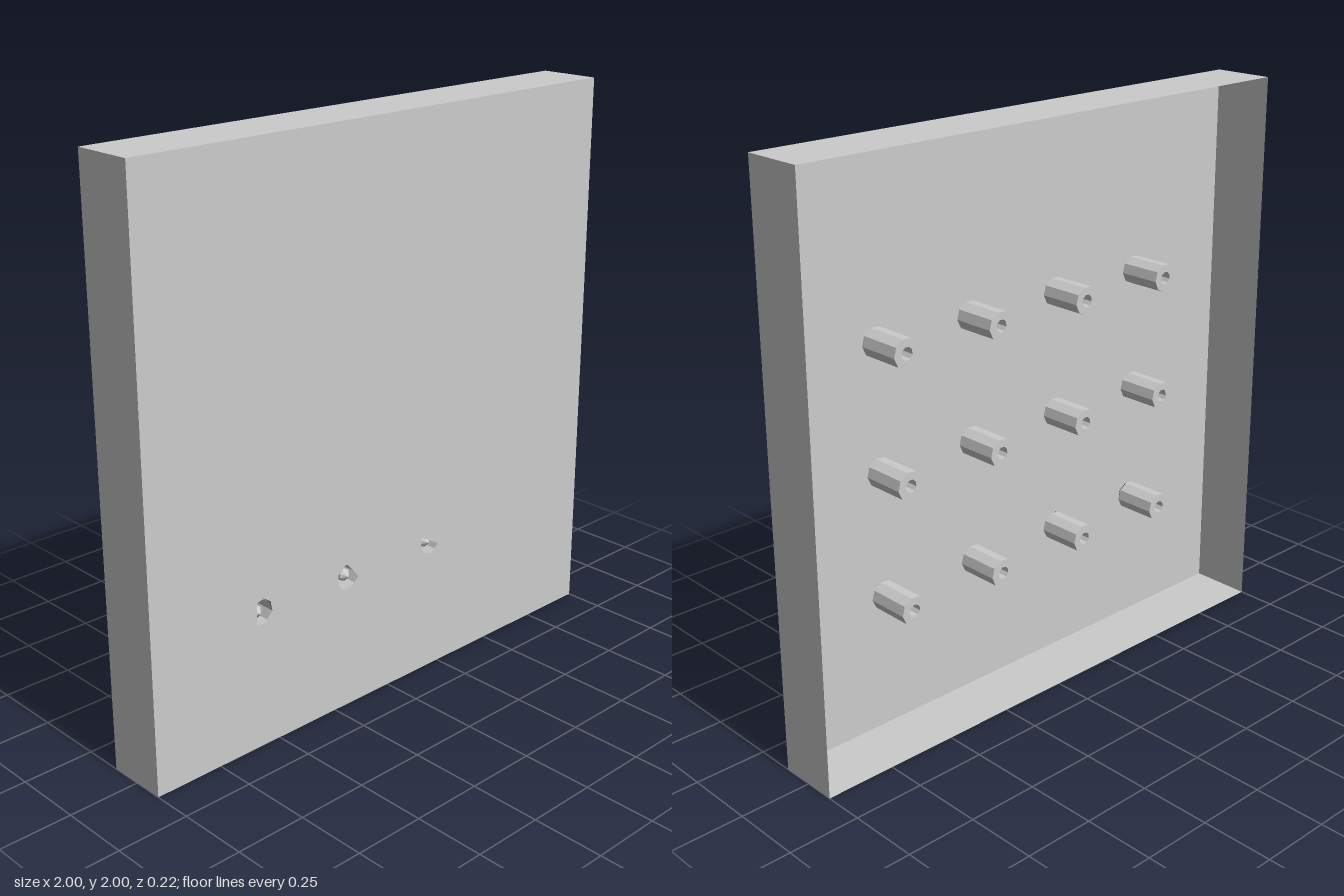
import * as THREE from 'three';

const DEPTH = 0.22, FRONT = DEPTH / 2;
const COLUMNS = [-0.57, -0.185, 0.2, 0.585], ROWS = [0.48, 0.915, 1.35];
const PEG_RADIUS = 0.05, PEG_SIDES = 9, PEG_END = -0.045;

// Irregular openings at the foot of three bottom-row pegs (offsets from the peg axis)
const OPENINGS = [
  [[-0.012, 0.043], [0.015, 0.05], [0.043, 0.03], [0.05, -0.004], [0.02, -0.038], [-0.015, -0.038]],
  [[-0.046, 0.02], [-0.008, 0.05], [0.046, -0.012], [0.006, -0.044], [-0.026, -0.038], [-0.046, -0.012]],
  [[-0.04, 0.032], [0.046, -0.016], [0.014, -0.044], [-0.024, -0.034], [-0.04, -0.002]],
];

export function createModel() {
  const model = new THREE.Group();
  const material = new THREE.MeshStandardMaterial({
    color: 0xcccccc, flatShading: true, side: THREE.DoubleSide,
  });
  const add = (name, geometry, parent = model) => {
    const mesh = new THREE.Mesh(geometry, material);
    mesh.name = name;
    parent.add(mesh);
    return mesh;
  };

  // Front panel with its small openings
  const face = new THREE.Shape([[-1, 0], [1, 0], [1, 2], [-1, 2]].map(p => new THREE.Vector2(...p)));
  OPENINGS.forEach((points, i) => {
    face.holes.push(new THREE.Path(points.map(([x, y]) => new THREE.Vector2(COLUMNS[i] + x, ROWS[0] + y))));
  });
  add('frontPanel', new THREE.ShapeGeometry(face)).position.z = FRONT;

  // Thin rim walls, leaving the back open
  ['rightWall', 'bottomWall', 'leftWall', 'topWall'].forEach((name, i) => {
    const wall = new THREE.PlaneGeometry(DEPTH, 2);
    wall.rotateY(-Math.PI / 2).translate(-1, 0, 0).rotateZ(i * Math.PI / 2).translate(0, 1, 0);
    add(name, wall);
  });

  // Hollow pegs with a pointed blind bore, open toward the panel
  const profile = [
    [PEG_RADIUS, FRONT], [PEG_RADIUS, PEG_END], [0.022, PEG_END], [0.022, 0.09], [0, FRONT + 0.001],
  ].map(p => new THREE.Vector2(...p));
  const pegGeometry = new THREE.LatheGeometry(profile, PEG_SIDES, THREE.MathUtils.degToRad(85));
  pegGeometry.rotateX(Math.PI / 2);
  const pegs = new THREE.Group();
  pegs.name = 'pegs';
  model.add(pegs);
  for (const y of ROWS) {
    for (const x of COLUMNS) add('peg', pegGeometry, pegs).position.set(x, y, 0);
  }
  return model;
}
